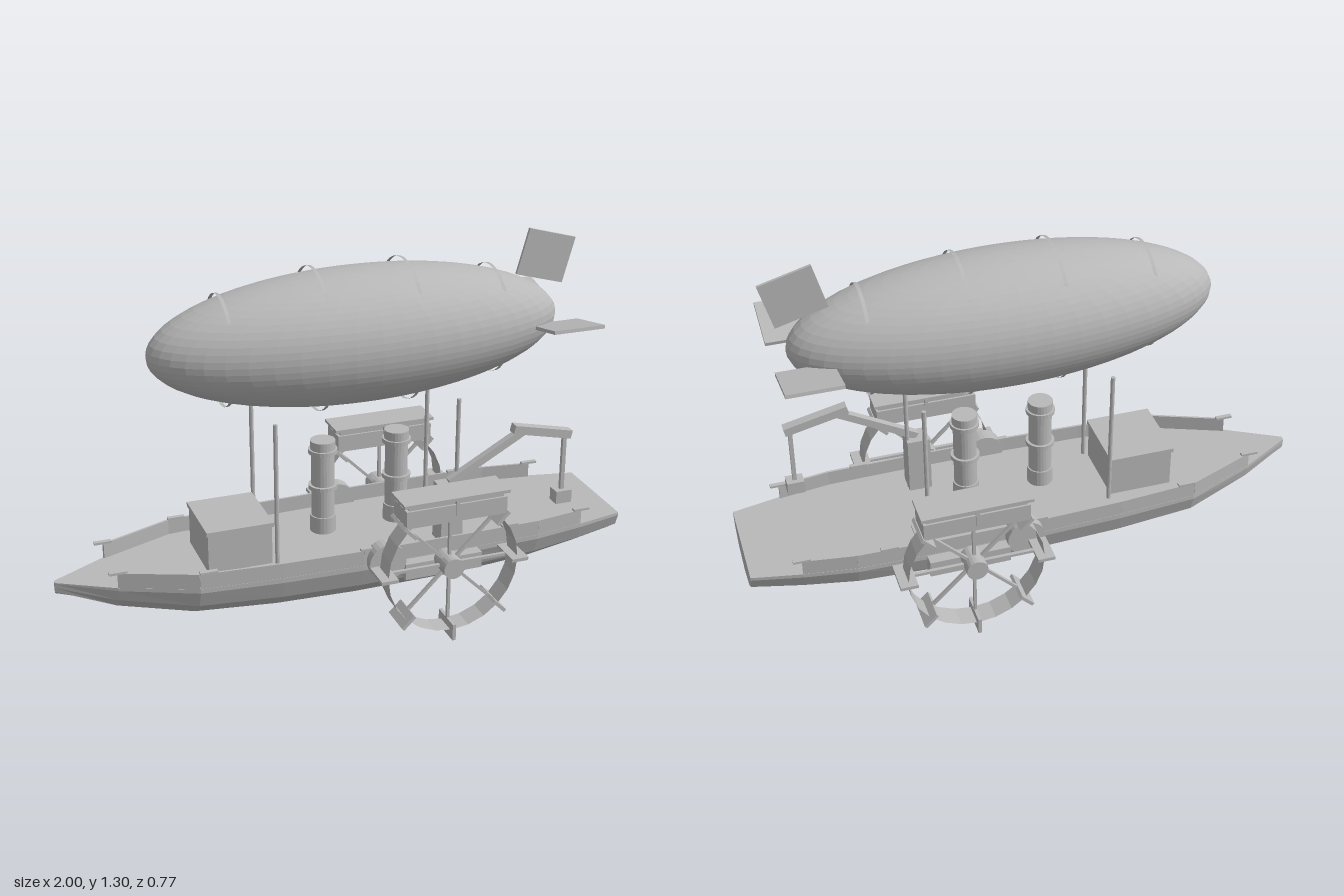
import * as THREE from 'three';

export function createModel() {
  const model = new THREE.Group();
  const grey = new THREE.MeshStandardMaterial({ color: 0xb8b8b8, flatShading: true, side: THREE.DoubleSide });
  grey.name = 'plain grey';

  const add = (name, geometry, x = 0, y = 0, z = 0, parent = model) => {
    const mesh = new THREE.Mesh(geometry, grey);
    mesh.name = name;
    mesh.position.set(x, y, z);
    parent.add(mesh);
    return mesh;
  };
  // Box given by its lower and upper corners
  const block = (name, x0, x1, y0, y1, z0, z1, parent) =>
    add(name, new THREE.BoxGeometry(x1 - x0, y1 - y0, Math.abs(z1 - z0)),
      (x0 + x1) / 2, (y0 + y1) / 2, (z0 + z1) / 2, parent);
  // Square beam in the x-y plane between two points
  const beam = (name, x0, y0, x1, y1, z, thick, depth) => {
    const mesh = add(name, new THREE.BoxGeometry(Math.hypot(x1 - x0, y1 - y0), thick, depth),
      (x0 + x1) / 2, (y0 + y1) / 2, z);
    mesh.rotation.z = Math.atan2(y1 - y0, x1 - x0);
  };

  // Hull: stations of [x, half width, keel height], with one shared half section
  const deck = 0.267;
  const stations = [
    [-1, 0.008, 0.225], [-0.81, 0.115, 0.158], [-0.56, 0.215, 0.11], [-0.28, 0.236, 0.09], [0, 0.245, 0.084],
    [0.385, 0.245, 0.088], [0.65, 0.24, 0.108], [0.83, 0.214, 0.13], [1, 0.18, 0.153],
  ];
  const half = [[1, 0], [1, 0.1], [0.91, 0.46], [0.59, 0.82], [0, 1]];
  const section = [...half, ...half.slice(0, -1).reverse().map(([w, d]) => [-w, d])];
  const n = section.length;
  const points = [], faces = [];
  for (const [x, w, keel] of stations)
    for (const [sz, d] of section) points.push(x, deck - d * (deck - keel), sz * w);
  for (let i = 0; i < stations.length - 1; i++)
    for (let j = 0; j < n; j++) {
      const a = i * n + j, d = i * n + (j + 1) % n;
      faces.push(a, d, d + n, a, d + n, a + n);
    }
  const stern = (stations.length - 1) * n;
  for (let j = 1; j < n - 1; j++) faces.push(0, j + 1, j, stern, stern + j, stern + j + 1);
  const hull = new THREE.BufferGeometry();
  hull.setAttribute('position', new THREE.Float32BufferAttribute(points, 3));
  hull.setIndex(faces);
  const hullFlat = hull.toNonIndexed();
  hullFlat.computeVertexNormals();
  add('hull', hullFlat);

  // Bulwark walls and the cleats on top of them
  for (const s of [1, -1]) {
    for (let i = 1; i < stations.length - 2; i++) {
      const [x0, w0] = stations[i], [x1, w1] = stations[i + 1];
      const wall = add('bulwark', new THREE.BoxGeometry(Math.hypot(x1 - x0, w1 - w0), 0.055, 0.008),
        (x0 + x1) / 2, deck + 0.0265, s * ((w0 + w1) / 2 - 0.005));
      wall.rotation.y = Math.atan2(-s * (w1 - w0), x1 - x0);
    }
    for (const [x, z] of [[-0.81, 0.115], [-0.53, 0.212], [0.02, 0.236], [0.54, 0.236], [0.83, 0.21]])
      add('cleat', new THREE.BoxGeometry(0.06, 0.008, 0.016), x, 0.324, s * z);
  }

  // Deck cabin, hatch and masts
  block('cabin', -0.505, -0.283, deck, 0.405, -0.12, 0.12);
  block('cabinLid', -0.51, -0.278, 0.405, 0.42, -0.126, 0.126);
  block('deckHatch', 0.32, 0.43, deck, 0.274, -0.19, -0.08);
  for (const x of [-0.27, 0.38])
    for (const z of [-0.135, 0.135])
      add('mast', new THREE.CylinderGeometry(0.0075, 0.0075, 0.511, 10), x, 0.5225, z);

  // Funnels with collars
  const funnel = [[0, 0.3], [0.045, 0.3], [0.045, 0.36], [0.04, 0.36], [0.04, 0.46], [0.05, 0.46], [0.05, 0.475],
    [0.04, 0.475], [0.04, 0.592], [0.05, 0.592], [0.05, 0.607], [0.043, 0.607], [0.043, 0.638], [0, 0.638]]
    .map(([r, y]) => new THREE.Vector2(r, y));
  for (const x of [-0.06, 0.21]) add('funnel', new THREE.LatheGeometry(funnel, 24), x);

  // Crane
  block('craneBase', 0.305, 0.385, deck, 0.475, 0.11, 0.186);
  beam('craneBoom', 0.345, 0.48, 0.625, 0.635, 0.148, 0.026, 0.026);
  beam('craneJib', 0.58, 0.645, 0.8, 0.595, 0.148, 0.03, 0.034);
  block('craneRope', 0.773, 0.787, 0.38, 0.6, 0.141, 0.155);
  block('craneWeight', 0.75, 0.81, 0.338, 0.385, 0.124, 0.172);

  // Paddle wheels, one on each side
  const wheelX = 0.275, wheelZ = 0.326;
  for (const s of [1, -1]) {
    const wheel = new THREE.Group();
    wheel.name = 'paddleWheel';
    wheel.position.set(wheelX, deck, s * wheelZ);
    model.add(wheel);
    const rim = add('wheelRim', new THREE.CylinderGeometry(0.235, 0.235, 0.08, 24, 1, true), 0, 0, 0, wheel);
    rim.rotation.x = Math.PI / 2;
    const hub = add('wheelHub', new THREE.CylinderGeometry(0.037, 0.037, 0.09, 20), 0, 0, 0, wheel);
    hub.rotation.x = Math.PI / 2;
    for (let k = 0; k < 8; k++) {
      const arm = new THREE.Group();
      arm.name = 'wheelArm';
      arm.rotation.z = k * Math.PI / 4;
      wheel.add(arm);
      add('spoke', new THREE.BoxGeometry(0.235, 0.01, 0.012), 0.1175, 0, 0, arm);
      add('paddle', new THREE.BoxGeometry(0.06, 0.012, 0.12), 0.236, 0, 0, arm);
    }
    // Cover above the wheel
    block('wheelCover', 0.095, 0.455, 0.452, 0.513, s * 0.27, s * 0.382);
    block('coverNeck', 0.105, 0.445, 0.513, 0.527, s * 0.277, s * 0.375);
    block('coverLid', 0.085, 0.463, 0.527, 0.538, s * 0.267, s * 0.386);
    // Axle bracket and drive disc on the hull side
    block('axleBracket', 0.135, 0.415, 0.207, 0.265, s * 0.2, s * 0.285);
    const disc = add('driveDisc', new THREE.CylinderGeometry(0.066, 0.066, 0.05, 28), 0.075, 0.28, s * 0.251);
    disc.rotation.x = Math.PI / 2;
  }

  // Balloon with thin open hoops
  const bx = 0.065, by = 1.006, rx = 0.72, ry = 0.227, rz = 0.245;
  add('balloon', new THREE.SphereGeometry(1, 48, 32), bx, by).scale.set(rx, ry, rz);
  for (const dx of [-0.475, -0.1575, 0.1575, 0.475]) {
    const f = Math.sqrt(1 - (dx / rx) ** 2);
    const hoop = new THREE.CylinderGeometry(1, 1, 0.012, 40, 1, true);
    hoop.rotateZ(Math.PI / 2);
    hoop.scale(1, 0.25 * f, 0.219 * f);
    hoop.computeVertexNormals();
    add('hoop', hoop, bx + dx, by);
  }

  // Tail fins
  add('topFin', new THREE.BoxGeometry(0.18, 0.163, 0.01), 0.747, 1.202).rotation.z = -0.27;
  for (const s of [1, -1])
    add('sideFin', new THREE.BoxGeometry(0.185, 0.012, 0.195), 0.744, 1.007, s * 0.183).rotation.x = -s * 0.21;

  return model;
}
